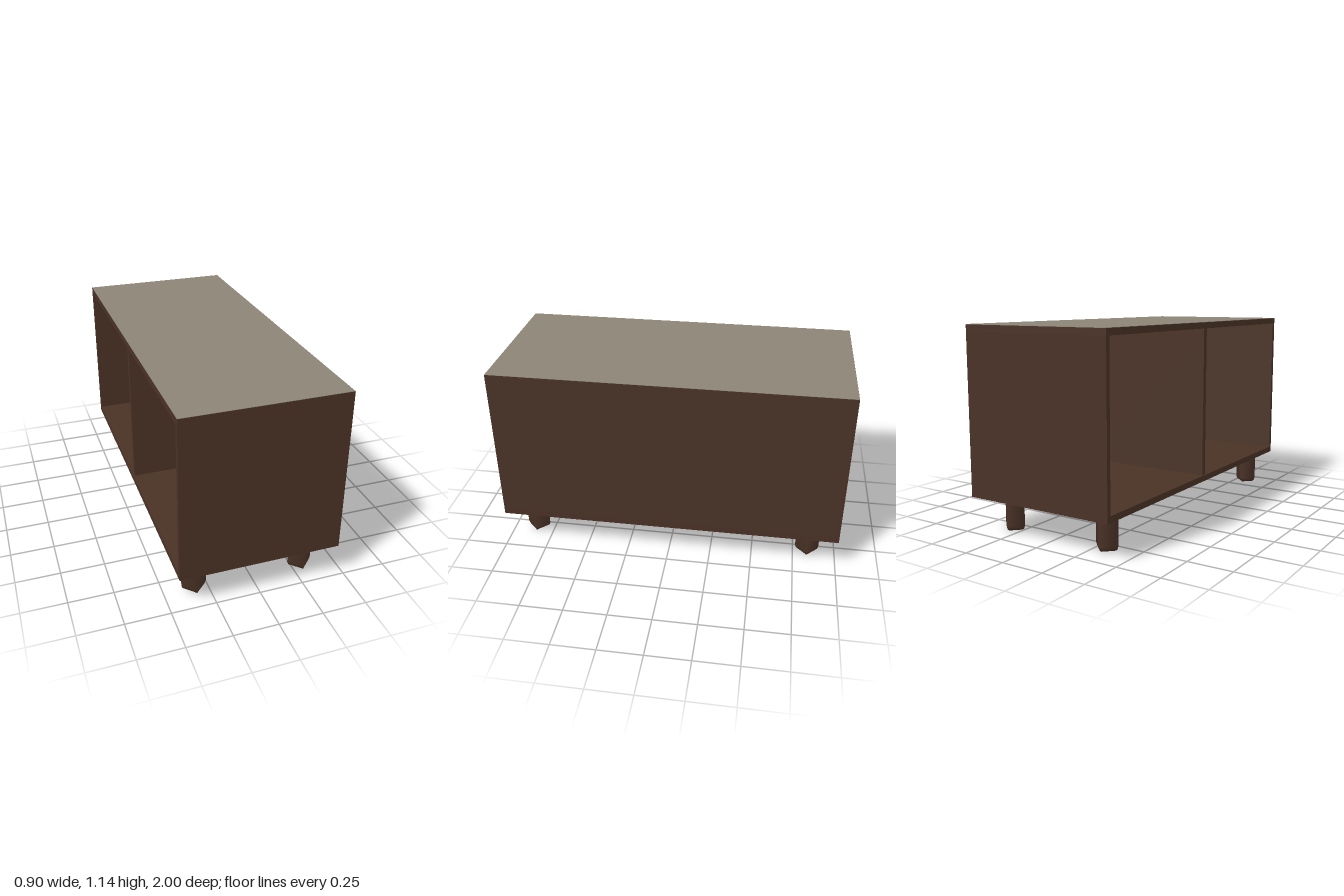
import * as THREE from 'three';

export function createModel() {
  const model = new THREE.Group();
  const wood = new THREE.MeshStandardMaterial({ color: 0x4a3226 });
  wood.name = 'darkWood';
  const stone = new THREE.MeshStandardMaterial({ color: 0x8c8476 });
  stone.name = 'taupeTop';

  // Box panel given by its minimum and maximum corners
  function panel(name, min, max, material = wood) {
    const size = max.map((v, i) => v - min[i]);
    const mesh = new THREE.Mesh(new THREE.BoxGeometry(...size), material);
    mesh.position.set(...min.map((v, i) => v + size[i] / 2));
    mesh.name = name;
    model.add(mesh);
  }

  const X = 0.452, Z = 1, Y0 = 0.203, Y1 = 1.138;
  const board = 0.035, side = 0.025;

  // Cabinet shell, open towards -x
  panel('bottomBoard', [-X, Y0, -Z], [X, Y0 + board, Z]);
  panel('topBoard', [-X, Y1 - board, -Z], [X, Y1, Z]);
  panel('frontEnd', [-X, Y0 + board, Z - side], [X, Y1 - board, Z]);
  panel('backEnd', [-X, Y0 + board, -Z], [X, Y1 - board, -Z + side]);
  panel('closedSide', [X - side, Y0 + board, -Z + side], [X, Y1 - board, Z - side]);

  // Divider between the two compartments
  panel('divider', [-X + 0.01, Y0 + board, -0.016], [X - side, Y1 - board, 0.016]);

  // Thin pale covering on the top
  panel('topCovering', [-X + 0.001, Y1, -Z + 0.001], [X - 0.001, Y1 + 0.002, Z - 0.001], stone);

  // Four-sided legs with softened feet, corners pointing along the axes
  const profile = [[0, 0], [0.05, 0.008], [0.063, 0.016], [0.07, 0.035], [0.07, Y0 + 0.01]]
    .map(([r, y]) => new THREE.Vector2(r, y));
  const legGeometry = new THREE.LatheGeometry(profile, 4);
  for (const x of [-0.33, 0.295]) {
    for (const z of [-0.833, 0.85]) {
      const leg = new THREE.Mesh(legGeometry, wood);
      leg.position.set(x, 0, z);
      leg.name = 'leg';
      model.add(leg);
    }
  }
  return model;
}
